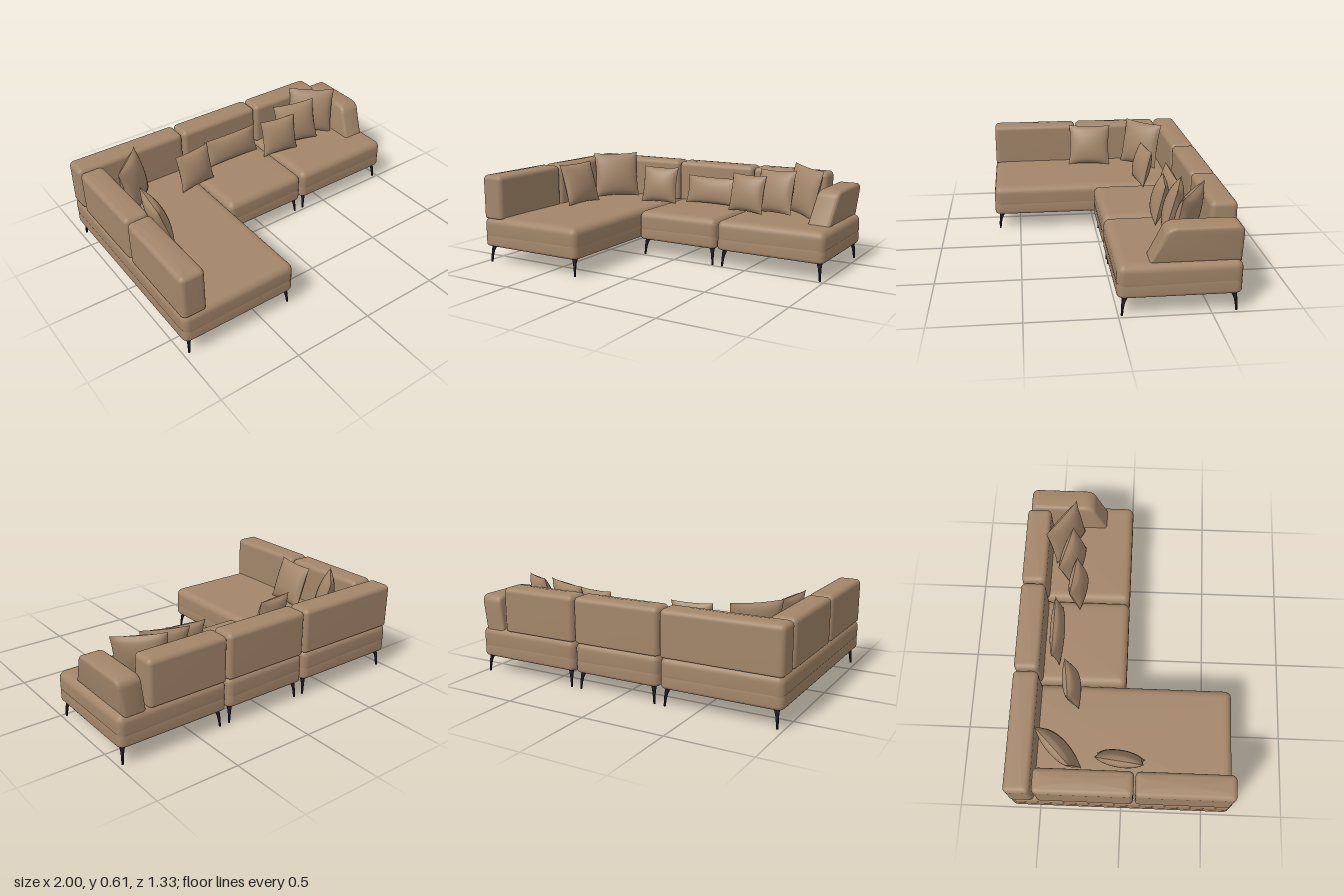
import * as THREE from 'three';
import { mergeGeometries, toCreasedNormals } from 'three/addons/utils/BufferGeometryUtils.js';

// Loop of points around a rounded rectangle, running from +x towards +z
function roundedLoop(hw, hd, r, steps = 5) {
  const pts = [];
  const corners = [[1, 1], [-1, 1], [-1, -1], [1, -1]];
  corners.forEach(([sx, sz], q) => {
    for (let i = 0; i <= steps; i++) {
      const a = (q + i / steps) * Math.PI / 2;
      pts.push([sx * (hw - r) + Math.cos(a) * r, sz * (hd - r) + Math.sin(a) * r]);
    }
  });
  return pts;
}

// Upholstered block: rounded-rectangle sections stacked along a list of [inset, y]
function upholstery(w, d, profile, r, crown) {
  const pos = [], index = [];
  const n = roundedLoop(1, 1, 0.1).length;
  for (const [inset, y] of profile) {
    const loop = roundedLoop(w / 2 - inset, d / 2 - inset, Math.max(r - inset, 0.006));
    for (const [x, z] of loop) pos.push(x, y, z);
  }
  for (let k = 0; k < profile.length - 1; k++) {
    for (let i = 0; i < n; i++) {
      const a = k * n + i, b = k * n + (i + 1) % n;
      index.push(a, a + n, b, b, a + n, b + n);
    }
  }
  const last = profile.length - 1, bottom = pos.length / 3;
  pos.push(0, profile[0][1], 0, 0, profile[last][1] + crown, 0);
  for (let i = 0; i < n; i++) {
    const j = (i + 1) % n;
    index.push(bottom, i, j, bottom + 1, last * n + j, last * n + i);
  }
  const geo = new THREE.BufferGeometry();
  geo.setAttribute('position', new THREE.Float32BufferAttribute(pos, 3));
  geo.setIndex(index);
  geo.computeVertexNormals();
  return geo;
}

// Profile with rounded bottom and top edges, and an optional pinched seam
function blockProfile(y0, y1, rBottom, rTop, seam) {
  const p = [[rBottom + 0.01, y0]];
  for (let i = 0; i <= 4; i++) {
    const a = i / 4 * Math.PI / 2;
    p.push([rBottom * (1 - Math.sin(a)), y0 + rBottom * (1 - Math.cos(a))]);
  }
  if (seam) p.push([0, seam - 0.006], [0.004, seam], [0, seam + 0.006]);
  for (let i = 0; i <= 6; i++) {
    const a = i / 6 * Math.PI / 2;
    p.push([rTop * (1 - Math.cos(a)), y1 - rTop * (1 - Math.sin(a))]);
  }
  p.push([rTop + 0.012, y1 + 0.001]);
  return p;
}

// Scatter pillow: two puffed sheets meeting at a pinched edge with pointed corners
function pillowGeometry(w, h, t) {
  const side = (sign) => {
    const geo = new THREE.PlaneGeometry(2, 2, 20, 20);
    const p = geo.attributes.position;
    for (let i = 0; i < p.count; i++) {
      const u = p.getX(i), v = p.getY(i);
      const puff = Math.pow(Math.max(0, (1 - u * u) * (1 - v * v)), 0.55);
      p.setXYZ(i,
        u * w / 2 * (1 - 0.06 * (1 - v * v) * u * u),
        v * h / 2 * (1 - 0.06 * (1 - u * u) * v * v),
        puff * t / 2);
    }
    if (sign < 0) geo.rotateY(Math.PI);
    geo.computeVertexNormals();
    return geo;
  };
  return mergeGeometries([side(1), side(-1)]);
}

// Slim leg: thin foot flaring into a bracket that reaches inward
function legGeometry(inX, inZ) {
  const H = 0.112;
  const geo = new THREE.CylinderGeometry(1, 1, H, 10, 8);
  const p = geo.attributes.position;
  for (let i = 0; i < p.count; i++) {
    const t = p.getY(i) / H + 0.5;
    const r = 0.006 + 0.005 * t + 0.011 * t ** 5;
    p.setXYZ(i,
      p.getX(i) * r + inX * (0.008 * t + 0.008 * t ** 4),
      t * H,
      p.getZ(i) * r + inZ * (0.008 * t + 0.016 * t ** 4));
  }
  geo.computeVertexNormals();
  return toCreasedNormals(geo, 0.9);
}

export function createModel() {
  const model = new THREE.Group();
  model.name = 'sectionalSofa';
  const fabric = new THREE.MeshStandardMaterial({ color: 0xa3866a });
  fabric.name = 'tan upholstery';
  const metal = new THREE.MeshStandardMaterial({ color: 0x1c1b26 });
  metal.name = 'dark metal';

  const add = (name, geo, mat = fabric) => {
    const mesh = new THREE.Mesh(geo, mat);
    mesh.name = name;
    model.add(mesh);
    return mesh;
  };

  // Seat modules with their legs: [name, x0, x1, z front]
  const zBack = -0.663;
  const seats = [
    ['chaise', -0.998, -0.274, 0.663],
    ['middleSeat', -0.266, 0.294, 0.008],
    ['cornerSeat', 0.302, 0.998, 0.008],
  ];
  for (const [name, x0, x1, z1] of seats) {
    const geo = upholstery(x1 - x0, z1 - zBack, blockProfile(0.105, 0.293, 0.02, 0.045, 0.18), 0.04, 0.004);
    add(name, geo).position.set((x0 + x1) / 2, 0, (z1 + zBack) / 2);
    for (const [x, inX] of [[x0 + 0.033, 1], [x1 - 0.025, -1]]) {
      for (const [z, inZ] of [[z1 - 0.028, -1], [zBack + 0.025, 1]]) {
        add(name + 'Leg', legGeometry(inX, inZ), metal).position.set(x, 0, z);
      }
    }
  }

  // Back cushions: [name, x0, x1, z0, z1]
  const backs = [
    ['chaiseBack', -0.996, -0.274, -0.663, -0.512],
    ['middleBack', -0.266, 0.294, -0.663, -0.512],
    ['cornerBack', 0.302, 0.812, -0.663, -0.512],
    ['sideBackRear', -0.996, -0.846, -0.502, 0.076],
    ['sideBackFront', -0.996, -0.846, 0.084, 0.66],
  ];
  for (const [name, x0, x1, z0, z1] of backs) {
    const geo = upholstery(x1 - x0, z1 - z0, blockProfile(0.283, 0.556, 0.012, 0.03), 0.03, 0.005);
    add(name, geo).position.set((x0 + x1) / 2, 0, (z0 + z1) / 2);
  }

  // Sloping armrest, leaning slightly outward
  const b = 0.022;
  const arm = new THREE.Shape();
  arm.moveTo(0.16 + b * 1.3, 0.28 + b);
  arm.lineTo(0.238 + b * 0.7, 0.435);
  arm.quadraticCurveTo(0.262, 0.494 - b, 0.31, 0.494 - b);
  arm.lineTo(0.63 - b, 0.494 - b);
  arm.quadraticCurveTo(0.657 - b, 0.494 - b, 0.657 - b, 0.465 - b);
  arm.lineTo(0.657 - b, 0.28 + b);
  arm.closePath();
  const armGeo = new THREE.ExtrudeGeometry(arm, {
    depth: 0.142 - 2 * b, bevelEnabled: true, bevelSize: b, bevelThickness: b, bevelSegments: 5, curveSegments: 8,
  });
  armGeo.rotateY(Math.PI / 2);
  const ap = armGeo.attributes.position;
  for (let i = 0; i < ap.count; i++) {
    ap.setX(i, ap.getX(i) + 0.826 + b + (ap.getY(i) - 0.29) * 0.13);
  }
  add('armrest', toCreasedNormals(armGeo, 0.8));

  // Scatter pillows: [name, width, height, thickness, x, y, z, yaw, lean, roll]
  const pillows = [
    ['cornerPillow', 0.31, 0.31, 0.11, -0.71, 0.447, -0.375, 0.78, -0.22, 0],
    ['sidePillow', 0.29, 0.28, 0.10, -0.757, 0.432, -0.01, 1.45, -0.3, 0],
    ['smallPillowLeft', 0.255, 0.245, 0.10, -0.308, 0.416, -0.322, 0.13, -0.22, 0],
    ['lumbarPillow', 0.395, 0.185, 0.08, 0.043, 0.388, -0.435, 0, -0.2, 0],
    ['smallPillowRight', 0.255, 0.245, 0.10, 0.355, 0.416, -0.32, -0.13, -0.22, 0],
    ['mediumPillow', 0.29, 0.28, 0.11, 0.53, 0.436, -0.365, -0.28, -0.25, 0.05],
    ['largePillow', 0.31, 0.31, 0.11, 0.7, 0.45, -0.415, -0.58, -0.22, -0.06],
  ];
  for (const [name, w, h, t, x, y, z, yaw, lean, roll] of pillows) {
    const mesh = add(name, pillowGeometry(w, h, t));
    mesh.position.set(x, y, z);
    mesh.rotation.set(lean, yaw, roll, 'YXZ');
  }
  return model;
}
